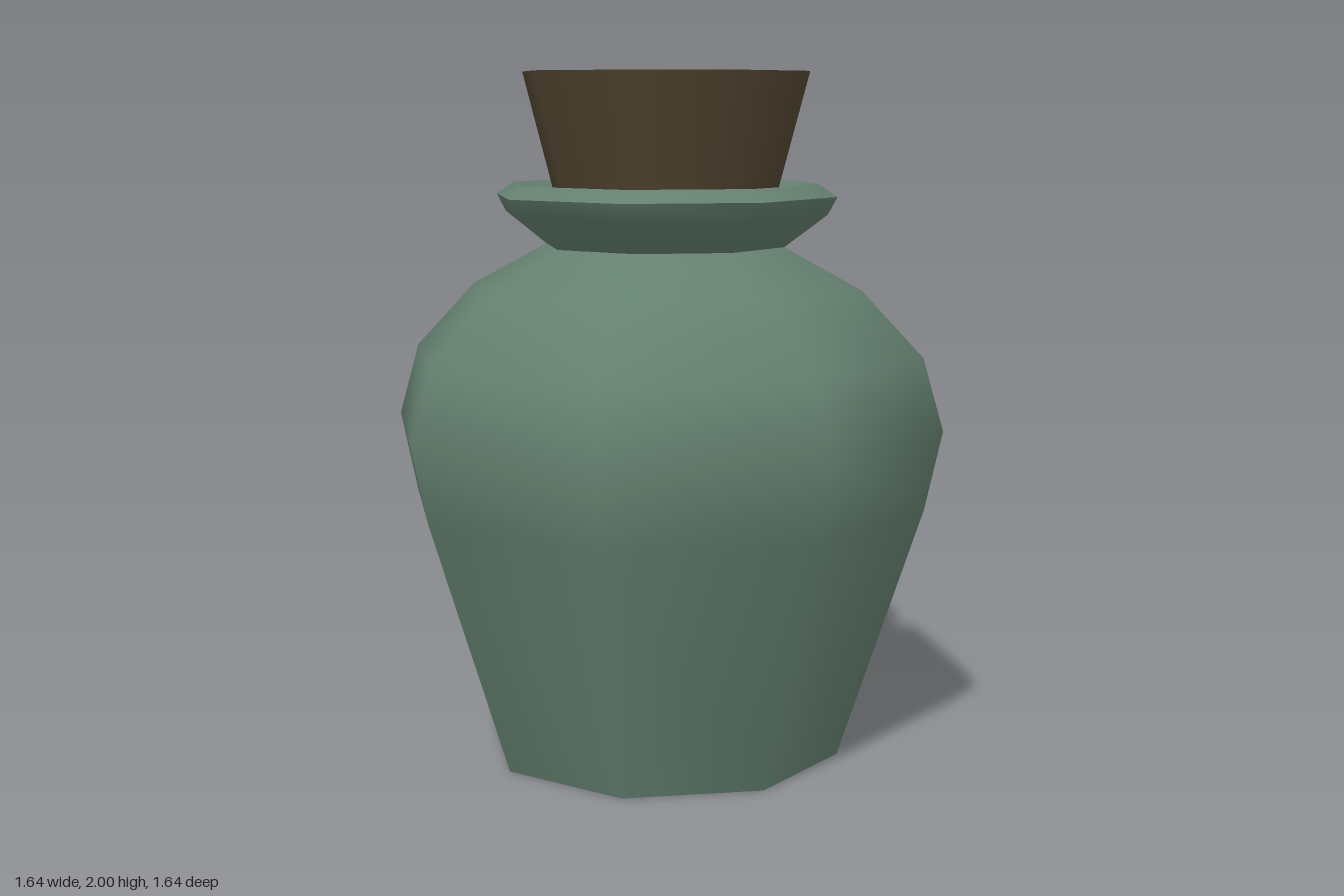
import * as THREE from 'three';

const SIDES = 8;

export function createModel() {
  const group = new THREE.Group();
  const green = new THREE.MeshStandardMaterial({ name: 'green glaze', color: 0x648070 });
  const brown = new THREE.MeshStandardMaterial({ name: 'brown cork', color: 0x504430 });

  // Each turned piece is smooth within itself; separate pieces meet at sharp edges.
  function turned(name, profile) {
    const points = profile.map(([r, y]) => new THREE.Vector2(r, y));
    const mesh = new THREE.Mesh(new THREE.LatheGeometry(points, SIDES), green);
    mesh.name = name;
    group.add(mesh);
  }

  turned('base', [[0, 0], [0.525, 0]]);
  turned('body', [[0.525, 0], [0.77, 0.75], [0.82, 0.98], [0.76, 1.19], [0.58, 1.38], [0.355, 1.5]]);
  turned('lipUnderside', [[0.355, 1.5], [0.48, 1.595], [0.507, 1.645]]);
  turned('lipTop', [[0.507, 1.645], [0.455, 1.68]]);
  turned('lipInside', [[0.455, 1.68], [0.3, 1.57]]);

  // Tapered stopper, reaching down into the neck
  const cork = new THREE.Mesh(new THREE.CylinderGeometry(0.425, 0.3, 0.47, SIDES), brown);
  cork.name = 'cork';
  cork.position.y = 2 - 0.47 / 2;
  group.add(cork);

  return group;
}
